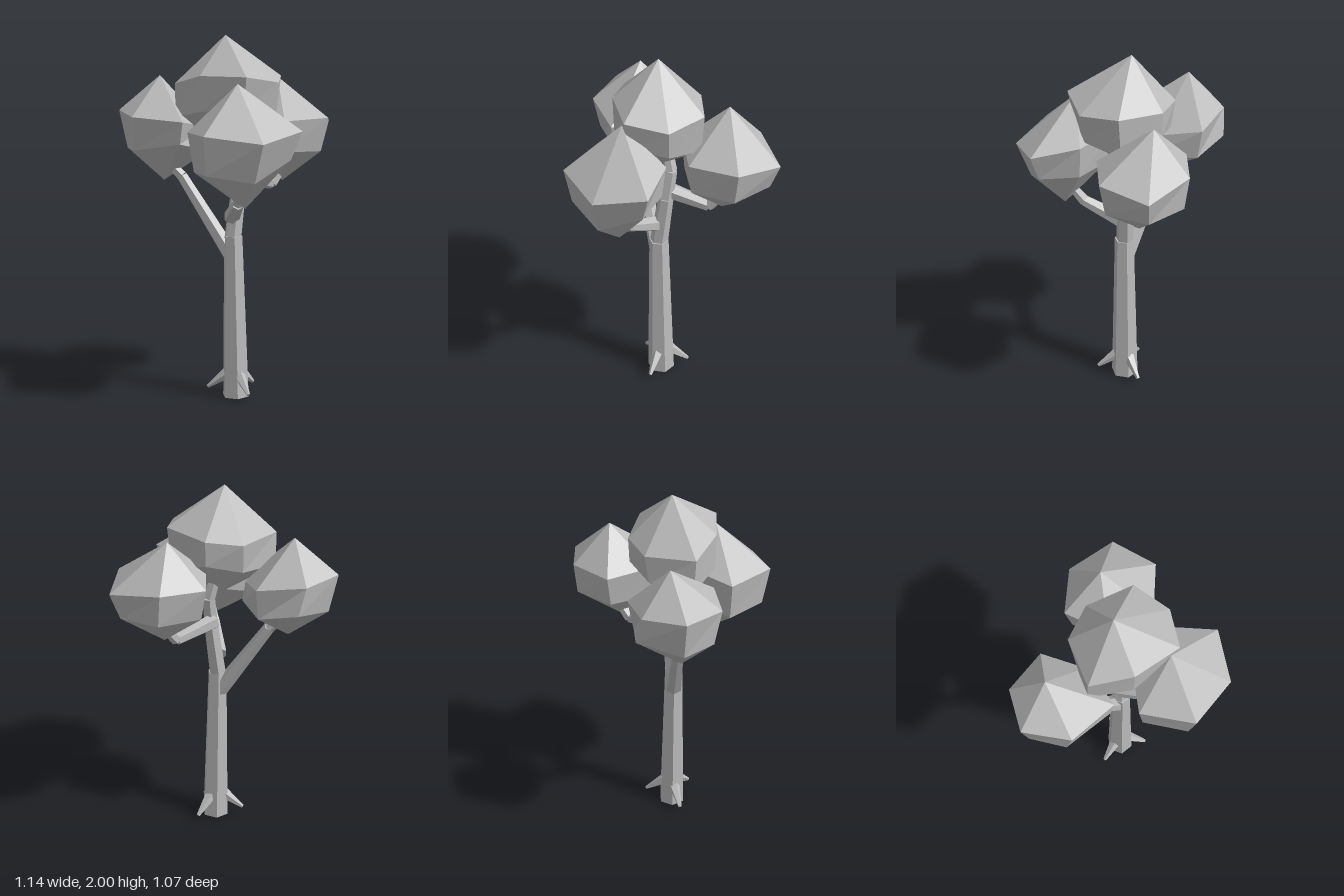
import * as THREE from 'three';

const grey = new THREE.MeshStandardMaterial({ color: 0xbcbcbc, flatShading: true });
grey.name = 'plain grey';
const V = (p) => new THREE.Vector3(...p);

// Faceted crown: a top point, an upper and a lower ring of corners, a bottom point
function crownGeometry({ top, upper, lower, bottom }) {
  const n = upper.length;
  const faces = [];
  for (let i = 0; i < n; i++) {
    const u = 1 + i, v = 1 + ((i + 1) % n);
    faces.push(0, v, u, v, v + n, u, v + n, u + n, u, 2 * n + 1, u + n, v + n);
  }
  const g = new THREE.BufferGeometry();
  g.setFromPoints([top, ...upper, ...lower, bottom].map(V));
  g.setIndex(faces);
  const flat = g.toNonIndexed();
  flat.computeVertexNormals();
  return flat;
}

// Tapered faceted limb through points, each given as [x, y, z, radius]
function limb(name, points, sides = 6) {
  const group = new THREE.Group();
  group.name = name;
  for (let i = 0; i < points.length - 1; i++) {
    const a = V(points[i].slice(0, 3)), b = V(points[i + 1].slice(0, 3));
    const dir = b.clone().sub(a);
    const g = new THREE.CylinderGeometry(points[i + 1][3], points[i][3], dir.length(), sides);
    g.rotateY(Math.PI / 2); // corners point to the sides
    const mesh = new THREE.Mesh(g, grey);
    mesh.name = name + 'Section';
    mesh.quaternion.setFromUnitVectors(new THREE.Vector3(0, 1, 0), dir.normalize());
    mesh.position.copy(a).add(b).multiplyScalar(0.5);
    group.add(mesh);
  }
  return group;
}

export function createModel() {
  const tree = new THREE.Group();
  tree.name = 'tree';

  // Trunk and branches
  tree.add(
    limb('trunk', [[0.116, 0, -0.01, 0.077], [0.102, 0.91, 0.001, 0.054]]),
    limb('upperTrunk', [[0.098, 0.89, 0, 0.05], [0.125, 1.2, -0.03, 0.042],
      [0.125, 1.37, -0.055, 0.036], [0.1, 1.47, -0.045, 0.032]]),
    limb('leftBranch', [[0.09, 0.8, 0, 0.047], [-0.2, 1.225, 0.01, 0.032], [-0.27, 1.29, 0.02, 0.026]]),
    limb('frontBranch', [[0.095, 1.015, 0.005, 0.046], [0.21, 1.12, 0.2, 0.032], [0.25, 1.2, 0.245, 0.026]]),
    limb('backBranch', [[0.1, 1.235, -0.04, 0.047], [0.235, 1.178, -0.235, 0.033], [0.265, 1.24, -0.28, 0.028]]),
  );

  // Three small roots around the foot
  for (const deg of [41, 165, -73]) {
    const a = THREE.MathUtils.degToRad(deg), c = Math.cos(a), s = Math.sin(a);
    tree.add(limb('root', [[0.113 + 0.045 * c, 0.13, -0.01 + 0.045 * s, 0.034],
      [0.113 + 0.157 * c, 0.045, -0.01 + 0.157 * s, 0.01]], 5));
  }

  // Leaf crowns
  const crowns = {
    topCrown: {
      top: [0.05, 2, -0.01], bottom: [0.08, 1.39, 0],
      upper: [[0.375, 1.755, 0.04], [0.27, 1.79, 0.24], [0, 1.79, 0.22], [-0.2, 1.74, 0.1],
        [-0.12, 1.735, -0.16], [0.06, 1.755, -0.24], [0.31, 1.78, -0.17]],
      lower: [[0.355, 1.6, 0.03], [0.25, 1.63, 0.215], [0, 1.6, 0.215], [-0.2, 1.56, 0.09],
        [-0.11, 1.58, -0.14], [0.06, 1.62, -0.235], [0.29, 1.565, -0.165]],
    },
    leftCrown: {
      top: [-0.355, 1.775, -0.04], bottom: [-0.305, 1.2, 0.02],
      upper: [[-0.11, 1.54, 0.2], [-0.4, 1.56, 0.22], [-0.575, 1.58, 0.03],
        [-0.48, 1.57, -0.19], [-0.23, 1.54, -0.255], [-0.09, 1.5, -0.06]],
      lower: [[-0.13, 1.42, 0.19], [-0.41, 1.375, 0.18], [-0.53, 1.37, 0.02],
        [-0.45, 1.42, -0.22], [-0.23, 1.37, -0.225], [-0.055, 1.37, -0.02]],
    },
    frontCrown: {
      top: [0.22, 1.755, 0.235], bottom: [0.28, 1.11, 0.275],
      upper: [[0.45, 1.47, 0.46], [0.155, 1.505, 0.53], [-0.035, 1.5, 0.305],
        [0.09, 1.55, 0.09], [0.37, 1.56, 0.05], [0.57, 1.52, 0.21]],
      lower: [[0.39, 1.265, 0.42], [0.15, 1.3, 0.49], [0, 1.29, 0.3],
        [0.12, 1.36, 0.11], [0.36, 1.38, 0.07], [0.51, 1.37, 0.22]],
    },
    backCrown: {
      top: [0.23, 1.765, -0.335], bottom: [0.28, 1.19, -0.29],
      upper: [[0.55, 1.55, -0.27], [0.37, 1.54, -0.07], [0.11, 1.55, -0.12],
        [0.005, 1.54, -0.355], [0.18, 1.545, -0.535], [0.47, 1.51, -0.53]],
      lower: [[0.51, 1.365, -0.27], [0.36, 1.37, -0.09], [0.13, 1.37, -0.13],
        [0.04, 1.37, -0.34], [0.2, 1.37, -0.52], [0.43, 1.37, -0.495]],
    },
  };
  for (const [name, spec] of Object.entries(crowns)) {
    const mesh = new THREE.Mesh(crownGeometry(spec), grey);
    mesh.name = name;
    tree.add(mesh);
  }
  return tree;
}
